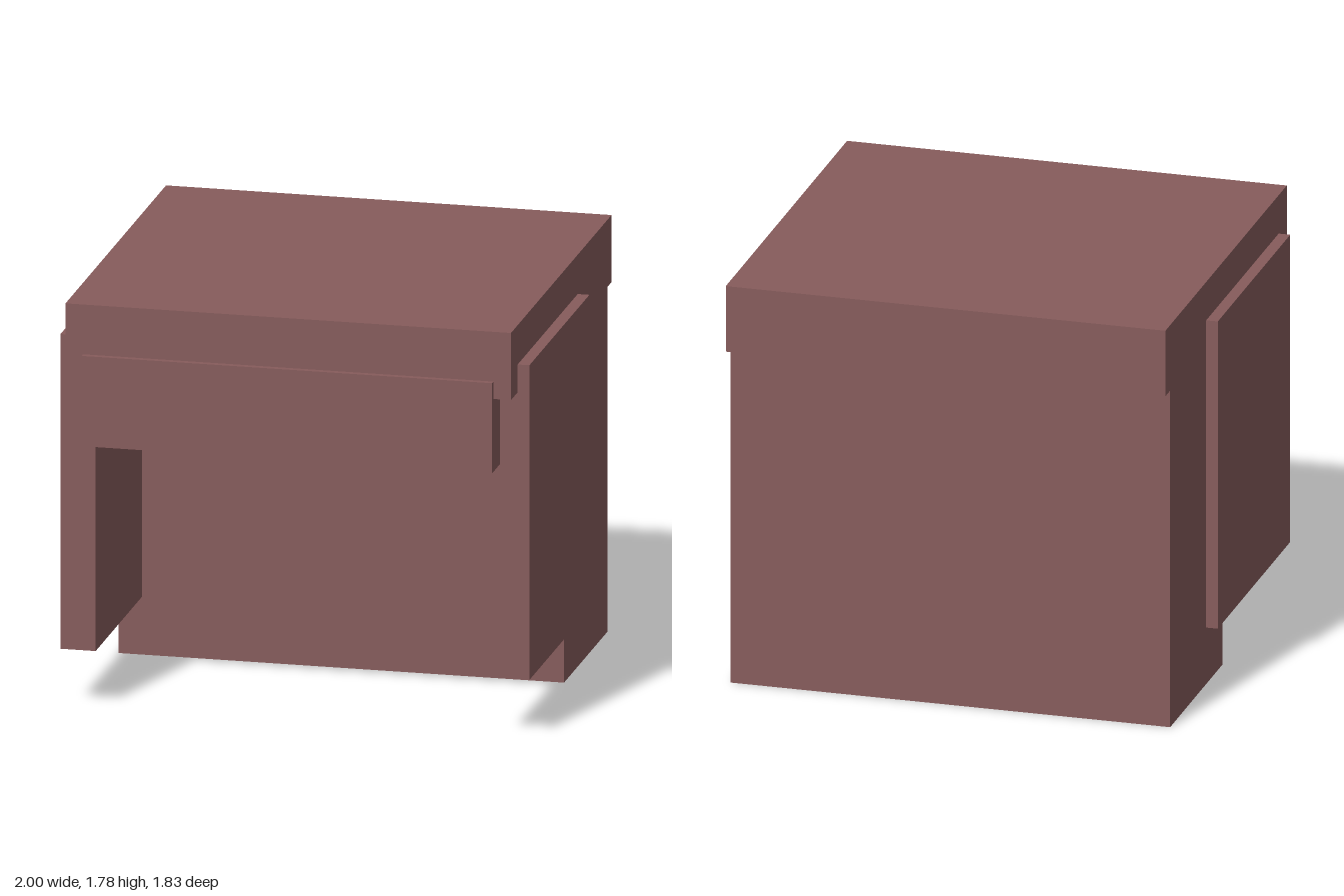
import * as THREE from 'three';

const wood = new THREE.MeshStandardMaterial({ color: 0x875c5c });
wood.name = 'dusty red brown';

// Box given by its extents along each axis
function slab(name, [x0, x1], [y0, y1], [z0, z1]) {
  const mesh = new THREE.Mesh(new THREE.BoxGeometry(x1 - x0, y1 - y0, z1 - z0), wood);
  mesh.position.set((x0 + x1) / 2, (y0 + y1) / 2, (z0 + z1) / 2);
  mesh.name = name;
  return mesh;
}

export function createModel() {
  const model = new THREE.Group();
  model.name = 'blockyCanopy';

  // Overhanging top and the deep block behind it
  model.add(slab('topSlab', [-0.95, 0.95], [1.49, 1.78], [-0.91, 0.89]));
  model.add(slab('backBlock', [-0.95, 0.95], [0, 1.49], [-0.84, -0.06]));

  // Band across the front, under the top edge
  model.add(slab('frontBand', [-0.875, 0.875], [1.175, 1.565], [0.76, 0.915]));

  // Mirrored side panels
  model.add(slab('leftPanel', [0.85, 1], [0.25, 1.61], [-0.305, 0.77]));
  model.add(slab('rightPanel', [-1, -0.85], [0.25, 1.61], [-0.305, 0.77]));

  return model;
}
